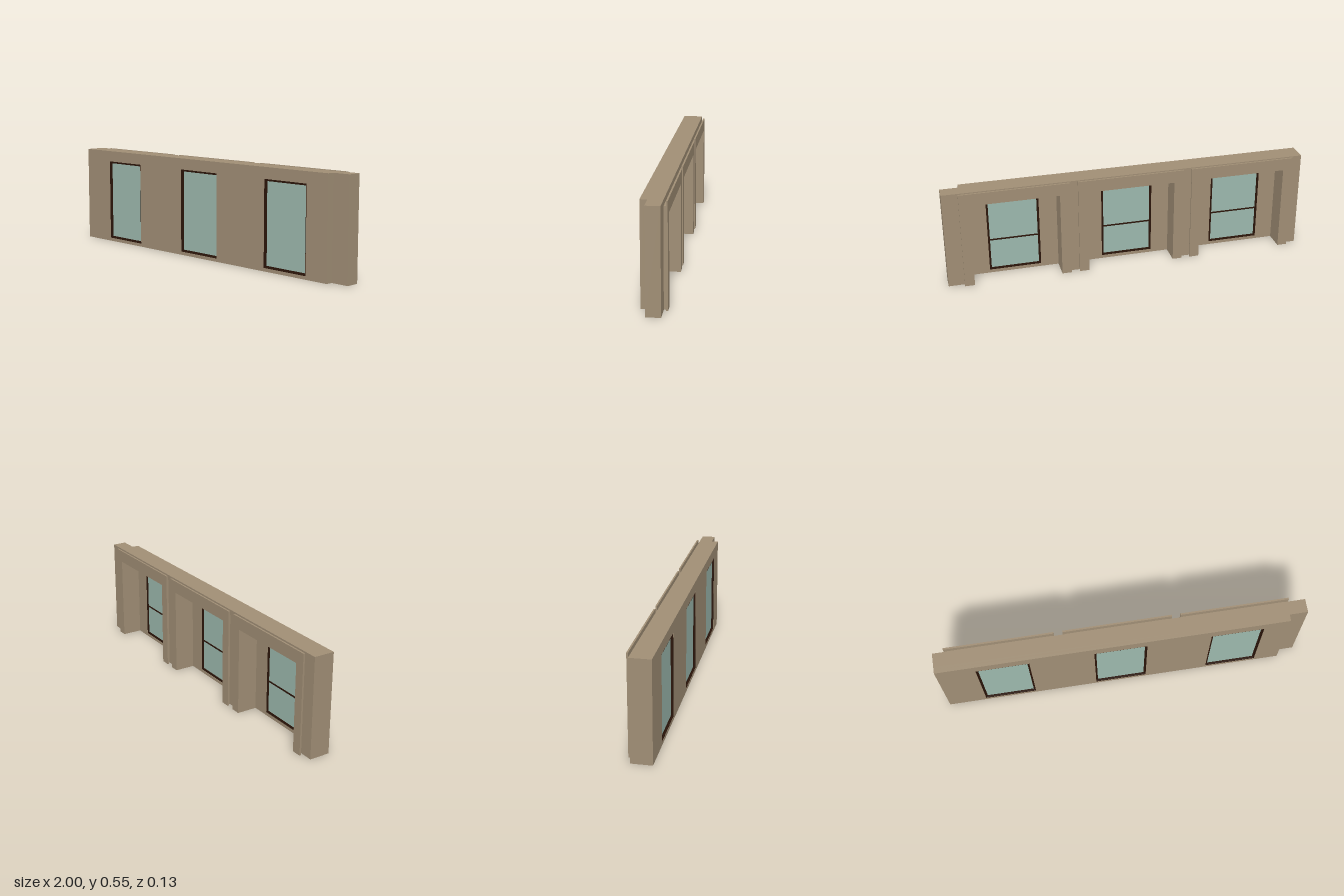
import * as THREE from 'three';

const HEIGHT = 0.545;
const NICHE_HALF = 0.241, NICHE_TOP = 0.477;
const WIN = { half: 0.143, bottom: 0.018, top: 0.483 };
const BAYS = [-0.648, -0.014, 0.62];

const plaster = new THREE.MeshStandardMaterial({ color: 0xa08e75 });
const wood = new THREE.MeshStandardMaterial({ color: 0x2b1509 });
const pane = new THREE.MeshStandardMaterial({ color: 0x9cb8ad });

// Extrudes a flat shape from z0 to z1
function slab(name, shape, z0, z1, material) {
  const geometry = new THREE.ExtrudeGeometry(shape, { depth: z1 - z0, bevelEnabled: false });
  geometry.translate(0, 0, z0);
  const mesh = new THREE.Mesh(geometry, material);
  mesh.name = name;
  return mesh;
}

function box(name, x0, x1, y0, y1, z0, z1, material) {
  const mesh = new THREE.Mesh(new THREE.BoxGeometry(x1 - x0, y1 - y0, z1 - z0), material);
  mesh.position.set((x0 + x1) / 2, (y0 + y1) / 2, (z0 + z1) / 2);
  mesh.name = name;
  return mesh;
}

function rect(Type, x0, x1, y0, y1) {
  return new Type().moveTo(x0, y0).lineTo(x1, y0).lineTo(x1, y1).lineTo(x0, y1).closePath();
}

// Wall outline with niches open at the floor
function notched(x0, x1, top, centres) {
  const shape = new THREE.Shape().moveTo(x0, 0);
  for (const c of centres) {
    shape.lineTo(c - NICHE_HALF, 0).lineTo(c - NICHE_HALF, NICHE_TOP);
    shape.lineTo(c + NICHE_HALF, NICHE_TOP).lineTo(c + NICHE_HALF, 0);
  }
  return shape.lineTo(x1, 0).lineTo(x1, top).lineTo(x0, top).closePath();
}

// Rectangular ring around the window opening
function ring(c, outer, inner) {
  const { half, bottom, top } = WIN;
  const shape = rect(THREE.Shape, c - half + outer, c + half - outer, bottom + outer, top - outer);
  shape.holes.push(rect(THREE.Path, c - half + inner, c + half - inner, bottom + inner, top - inner));
  return shape;
}

function makeWindow(c) {
  const group = new THREE.Group();
  group.name = 'window';
  const { half, bottom, top } = WIN;
  group.add(slab('windowLining', ring(c, 0, 0.004), 0.0455, 0.066, wood));
  group.add(slab('windowSash', ring(c, 0.004, 0.011), 0.048, 0.058, wood));
  group.add(box('glass', c - half + 0.009, c + half - 0.009, bottom + 0.009, top - 0.009, 0.051, 0.055, pane));
  // Horizontal bar on the inner side
  group.add(box('glazingBar', c - half + 0.01, c + half - 0.01, 0.197, 0.205, 0.048, 0.052, wood));
  return group;
}

export function createModel() {
  const model = new THREE.Group();
  model.name = 'wallWithWindows';

  // Main wall, with a tongue beyond the facing at the left end
  model.add(slab('backWall', notched(-1, 1, HEIGHT, BAYS), -0.045, 0.03, plaster));
  model.add(slab('facingCore', notched(-1, 0.9, HEIGHT, BAYS), 0.03, 0.045, plaster));

  // Front skin pierced by the windows
  const skin = rect(THREE.Shape, -1, 0.9, 0, HEIGHT);
  for (const c of BAYS) {
    skin.holes.push(rect(THREE.Path, c - WIN.half, c + WIN.half, WIN.bottom, WIN.top));
  }
  model.add(slab('frontFacing', skin, 0.045, 0.067, plaster));

  // Windows and the stepped surrounds at the back
  for (const c of BAYS) {
    model.add(makeWindow(c));
    model.add(slab('surroundSpacer', notched(c - 0.278, c + 0.278, 0.515, [c]), -0.058, -0.045, plaster));
    model.add(slab('surround', notched(c - 0.294, c + 0.294, HEIGHT, [c]), -0.067, -0.058, plaster));
  }
  return model;
}
